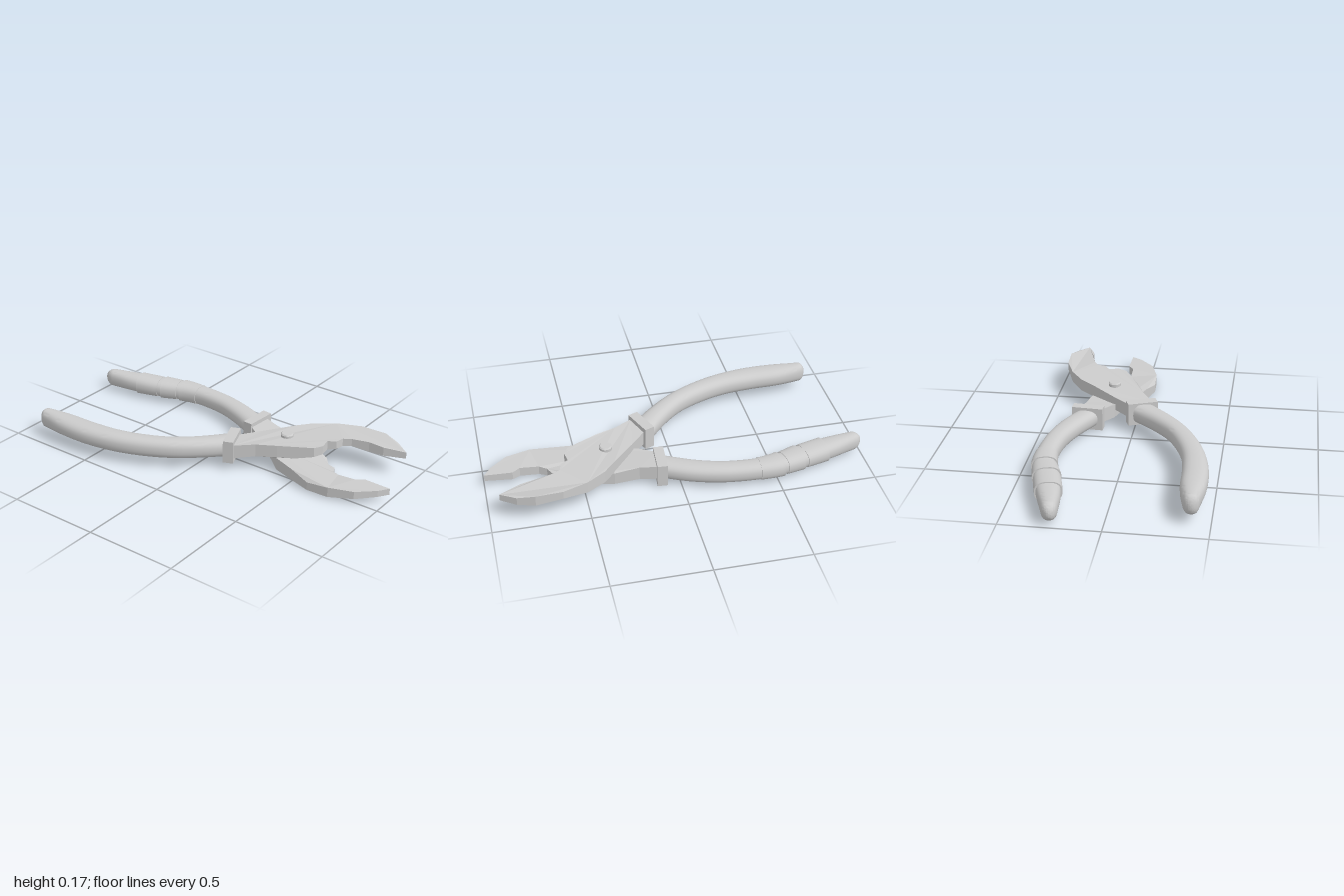
import * as THREE from 'three';
import { toCreasedNormals } from 'three/addons/utils/BufferGeometryUtils.js';

const MID = 0.0875; // height of the plane where the two halves meet
const material = new THREE.MeshStandardMaterial({ color: 0xcccccc });

function add(parent, name, geometry) {
  const mesh = new THREE.Mesh(geometry, material);
  mesh.name = name;
  parent.add(mesh);
  return mesh;
}

// Piecewise-linear lookup in a list of [x, value]
function lookup(table, x) {
  for (let i = 1; i < table.length; i++) {
    const [x0, v0] = table[i - 1], [x1, v1] = table[i];
    if (x <= x1) return THREE.MathUtils.lerp(v0, v1, THREE.MathUtils.clamp((x - x0) / (x1 - x0), 0, 1));
  }
  return table[table.length - 1][1];
}

// Upper and lower face heights of the upper jaw plate along x
const TOP = [[0.15, 0.138], [0.34, 0.157], [0.6, 0.163], [0.78, 0.163], [0.86, 0.148], [0.95, 0.14]];
const BOTTOM = [[0.15, 0.06], [0.34, 0.09], [0.47, 0.092], [0.6, 0.118], [0.66, 0.122], [0.75, 0.107], [0.95, 0.105]];

// Flat outline [x, z] given a thickness that bends along x; flip mirrors it below MID
function plate(outline, flip) {
  const shape = new THREE.Shape(outline.map(([x, z]) => new THREE.Vector2(x, -z)));
  const geo = new THREE.ExtrudeGeometry(shape, { depth: 1, bevelEnabled: false });
  geo.rotateX(-Math.PI / 2);
  const p = geo.attributes.position;
  for (let i = 0; i < p.count; i++) {
    const x = p.getX(i), isTop = p.getY(i) > 0.5;
    const y = lookup(isTop !== flip ? TOP : BOTTOM, x);
    p.setY(i, flip ? 2 * MID - y : y);
  }
  geo.computeVertexNormals();
  return geo;
}

// Sweep of a rounded section; the curve's components are x, z and half width
function sweep(curve, y, halfHeight, t0, t1, { grow = 0, flare = 0, steps = 64, round = false } = {}) {
  const sides = 28, pos = [], index = [];
  const ring = (t, scale, extra) => {
    const c = curve.getPoint(t), d = curve.getTangent(t), len = Math.hypot(d.x, d.y);
    const nx = d.y / len, nz = -d.x / len;
    for (let j = 0; j < sides; j++) {
      const a = (j / sides) * Math.PI * 2;
      const sq = (v) => Math.sign(v) * Math.abs(v) ** 0.8;
      const w = (c.z + extra) * scale * sq(Math.cos(a)), h = (halfHeight + extra) * scale * sq(Math.sin(a));
      pos.push(c.x + nx * w, y + h, c.y + nz * w);
    }
  };
  ring(t0, 0, 0);
  for (let i = 0; i <= steps; i++) {
    const s = i / steps, t = t0 + (t1 - t0) * (round ? 1 - (1 - s) ** 1.6 : s);
    const k = round ? Math.max(0, (t - 0.94) / 0.06) : 0;
    ring(t, Math.sqrt(Math.max(0, 1 - k * k)), grow + flare * s);
  }
  ring(t1, 0, 0);
  for (let i = 0; i < steps + 2; i++) {
    for (let j = 0; j < sides; j++) {
      const k = (j + 1) % sides, a = i * sides, b = a + sides;
      index.push(a + j, a + k, b + j, a + k, b + k, b + j);
    }
  }
  const geo = new THREE.BufferGeometry();
  geo.setAttribute('position', new THREE.Float32BufferAttribute(pos, 3));
  geo.setIndex(index);
  return toCreasedNormals(geo, 0.8);
}

const path = (points) => new THREE.CatmullRomCurve3(points.map((p) => new THREE.Vector3(...p)));

export function createModel() {
  const model = new THREE.Group();
  model.name = 'pliers';
  const upper = new THREE.Group(), lower = new THREE.Group();
  upper.name = 'upperHalf';
  lower.name = 'lowerHalf';
  model.add(upper, lower);

  // Jaw plates with their necks
  add(upper, 'upperJaw', plate([
    [0.13, -0.02], [0.22, -0.13], [0.34, -0.27], [0.4, -0.34], [0.5, -0.41], [0.63, -0.46], [0.77, -0.467],
    [0.86, -0.44], [0.94, -0.385], [0.83, -0.34], [0.75, -0.33], [0.66, -0.305], [0.62, -0.28], [0.61, -0.235],
    [0.57, -0.21], [0.58, -0.15], [0.555, -0.105], [0.47, -0.06], [0.385, -0.015], [0.28, 0.03], [0.18, 0.1],
  ], false));
  add(lower, 'lowerJaw', plate([
    [0.1, -0.31], [0.21, -0.28], [0.34, -0.275], [0.46, -0.25], [0.57, -0.21], [0.61, -0.165], [0.65, -0.16],
    [0.67, -0.12], [0.71, -0.1], [0.81, -0.1], [0.85, -0.13], [0.997, -0.125], [0.96, -0.07], [0.87, 0.01],
    [0.74, 0.05], [0.62, 0.055], [0.5, 0.02], [0.385, -0.015], [0.28, -0.1], [0.19, -0.12], [0.1, -0.18],
  ], true));

  // Collars between necks and handles
  const upperCollar = add(upper, 'upperCollar', new THREE.BoxGeometry(0.055, 0.125, 0.165));
  upperCollar.position.set(0.135, 0.1025, 0.04);
  upperCollar.rotation.y = 0.38;
  const lowerCollar = add(lower, 'lowerCollar', new THREE.BoxGeometry(0.053, 0.125, 0.17));
  lowerCollar.position.set(0.094, 0.0725, -0.25);
  lowerCollar.rotation.y = -0.07;

  // Curved handles: [x, z, half width]
  const upperPath = path([
    [0.12, 0.045, 0.064], [0.015, 0.155, 0.057], [-0.1, 0.25, 0.054], [-0.245, 0.325, 0.057], [-0.39, 0.372, 0.061],
    [-0.555, 0.395, 0.067], [-0.715, 0.398, 0.064], [-0.825, 0.4, 0.047], [-0.892, 0.405, 0.033],
  ]);
  add(upper, 'upperHandle', sweep(upperPath, 0.104, 0.053, 0, 1, { round: true }));
  const lowerPath = path([
    [0.09, -0.25, 0.062], [-0.06, -0.32, 0.06], [-0.19, -0.36, 0.056], [-0.29, -0.375, 0.055], [-0.4, -0.38, 0.056],
    [-0.5, -0.37, 0.06], [-0.66, -0.325, 0.066], [-0.82, -0.285, 0.058], [-0.91, -0.265, 0.046], [-1, -0.247, 0.033],
  ]);
  add(lower, 'lowerHandle', sweep(lowerPath, 0.071, 0.049, 0, 1, { round: true }));

  // Slightly raised grip sleeves on the lower handle
  [[4, 5.12], [5.25, 5.82], [5.95, 6.72]].forEach(([a, b], i) => {
    add(lower, `gripSleeve${i + 1}`,
      sweep(lowerPath, 0.071, 0.047, a / 9, b / 9, { grow: 0.004, flare: 0.004, steps: 10 }));
  });

  // Pivot pin with chamfered heads
  const r = 0.034, h = 0.0855;
  const profile = [[0, -h], [r - 0.006, -h], [r, -h + 0.006], [r, h - 0.006], [r - 0.006, h], [0, h]];
  const pin = add(model, 'pivotPin', toCreasedNormals(
    new THREE.LatheGeometry(profile.map(([x, y]) => new THREE.Vector2(x, y)), 24), 0.5));
  pin.position.set(0.362, MID, -0.143);

  return model;
}
